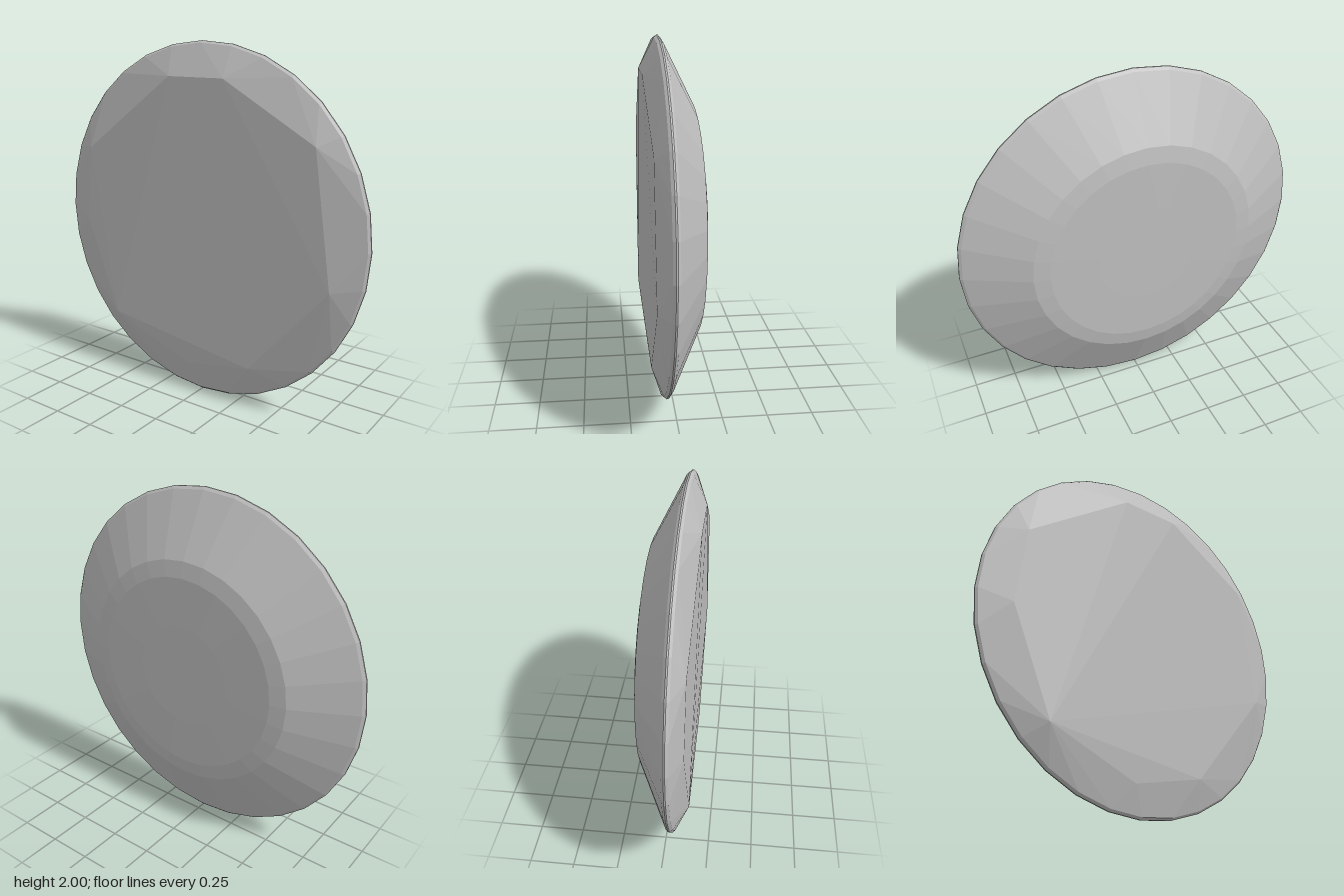
import * as THREE from 'three';
import { ConvexGeometry } from 'three/addons/geometries/ConvexGeometry.js';

const SIDES = 32;

// Separate the faces so each one is shaded flat
function faceted(geometry) {
  const flat = geometry.toNonIndexed();
  flat.computeVertexNormals();
  return flat;
}

export function createModel() {
  const model = new THREE.Group();
  model.name = 'cutDisc';
  const grey = new THREE.MeshStandardMaterial({ color: 0xbfbfbf });
  grey.name = 'stone grey';

  // Back shell and thin rim: radius and depth, from back to front
  const profile = [
    [0, -0.149], [0.29, -0.149], [0.56, -0.145], [0.65, -0.13],
    [0.985, 0.038], [1, 0.052], [1, 0.06], [0.988, 0.074],
  ].map(([r, z]) => new THREE.Vector2(r, z));
  const back = new THREE.Mesh(faceted(new THREE.LatheGeometry(profile, SIDES).rotateX(Math.PI / 2)), grey);
  back.name = 'backShell';

  // Front face: rough-cut corners joined to the rim by slanted facets
  const corners = [
    [-0.16, 0.815, 0.148], [0.19, 0.81, 0.148], [0.72, 0.5, 0.133],
    [0.82, -0.22, 0.13], [0.35, -0.755, 0.125], [-0.07, -0.835, 0.115],
    [-0.59, -0.62, 0.14], [-0.82, -0.05, 0.13], [-0.77, 0.385, 0.133],
  ].map((p) => new THREE.Vector3(...p));
  const rim = Array.from({ length: SIDES }, (_, i) => {
    const a = (i / SIDES) * Math.PI * 2;
    return new THREE.Vector3(0.988 * Math.sin(a), 0.988 * Math.cos(a), 0.074);
  });
  const front = new THREE.Mesh(new ConvexGeometry([...corners, ...rim]), grey);
  front.name = 'frontFacets';

  model.add(back, front);
  model.children.forEach((part) => { part.position.y = 1; });
  return model;
}
